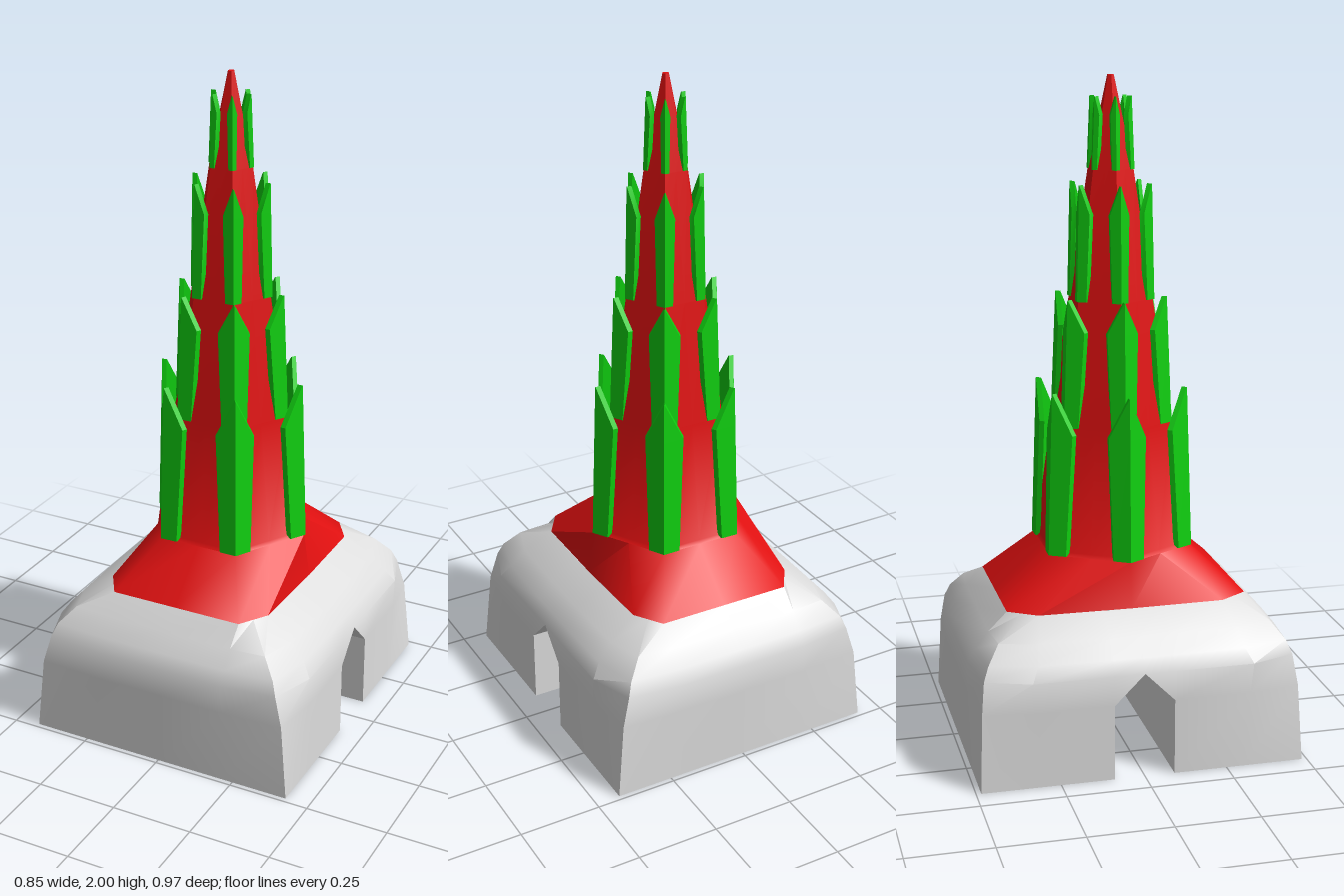
import * as THREE from 'three';
import { toCreasedNormals } from 'three/addons/utils/BufferGeometryUtils.js';

const stone = new THREE.MeshStandardMaterial({ color: 0xdddddd });
stone.name = 'paleStone';
const red = new THREE.MeshStandardMaterial({ color: 0xe01010 });
red.name = 'red';
const green = new THREE.MeshStandardMaterial({ color: 0x10d010 });
green.name = 'green';

const geometryFrom = (tris, crease) => {
  const g = new THREE.BufferGeometry();
  g.setAttribute('position', new THREE.Float32BufferAttribute(tris.flat(), 3));
  return toCreasedNormals(g, crease);
};

// Mirror a quarter outline [x, z] (from the +x axis to the +z axis) into a full ring at height y
function fullRing(y, q) {
  const n = q.length;
  const fwd = q.slice(0, n - 1), back = q.slice(1).reverse();
  const at = (list, sx, sz) => list.map(([x, z]) => [x * sx, y, z * sz]);
  return [...at(fwd, 1, 1), ...at(back, -1, 1), ...at(fwd, -1, -1), ...at(back, 1, -1)];
}

// Skin between rings; mask(band, segment) may drop the lower or upper triangle
function loft(rings, mask = () => [true, true]) {
  const tris = [];
  for (let k = 0; k < rings.length - 1; k++) {
    const lo = rings[k], hi = rings[k + 1], n = lo.length;
    for (let i = 0; i < n; i++) {
      const j = (i + 1) % n;
      const [first, second] = mask(k, i);
      if (first) tris.push(lo[i], hi[i], lo[j]);
      if (second) tris.push(lo[j], hi[i], hi[j]);
    }
  }
  return tris;
}

const quad = (a, b, c, d) => [a, b, c, a, c, d];

function makeBase() {
  const W = 0.425, D = 0.485, T = 0.09;
  // y, side x, shoulder [x, z], corner [x, z], end z
  const rows = [
    [0, W, [W, 0.3], [W, D], D],
    [0.23, W, [W, 0.32], [0.403, 0.475], D],
    [0.32, W, [W, 0.33], [0.378, 0.464], D],
    [0.36, 0.402, [0.397, 0.31], [0.362, 0.448], 0.46],
    [0.41, 0.357, [0.352, 0.3], [0.318, 0.41], 0.42],
    [0.465, 0.27, [0.265, 0.28], [0.2375, 0.3225], 0.365],
  ];
  const rings = rows.map(([y, x, b, c, z]) => fullRing(y, [[x, 0], [x, T], b, c, [0.21, z], [0, z]]));
  // leave the tunnel mouths open, with a pointed top
  const tris = loft(rings, (k, i) => {
    if (k > 1 || ![0, 9, 10, 19].includes(i)) return [true, true];
    if (k === 0) return [false, false];
    // only the triangle beside the point remains
    return [0, 10].includes(i) ? [false, true] : [false, false];
  });
  for (const s of [1, -1]) {
    const a = [s * W, 0.23, -s * T], b = [s * W, 0.32, -s * T], c = [s * W, 0.32, 0];
    tris.push(a, b, c);
  }
  // tunnel walls and roof
  const path = [[0, T], [0.23, T], [0.32, 0], [0.23, -T], [0, -T]];
  for (let i = 0; i < 4; i++) {
    const [y0, z0] = path[i], [y1, z1] = path[i + 1];
    tris.push(...quad([W, y0, z0], [-W, y0, z0], [-W, y1, z1], [W, y1, z1]));
  }
  // undersides
  for (const [z0, z1] of [[T, D], [-D, -T]])
    tris.push(...quad([-W, 0, z0], [W, 0, z0], [W, 0, z1], [-W, 0, z1]));
  return geometryFrom(tris, 0.7);
}

// Hexagon quarter outline, corners on the x axis
const hexRing = (y, r) => {
  const c = Math.cos(Math.PI / 6);
  return fullRing(y, [[r, 0], [r * 0.75, r * c / 2], [r / 2, r * c], [0, r * c]]);
};

// Folded pointed leaf wrapped on a hexagon corner facing +x
function makeLeaf(y0, y1, r0, r1, w) {
  const t = 0.05 * w + 0.013;
  const row = (f, half) => {
    const y = y0 + (y1 - y0) * f, r = r0 + (r1 - r0) * f, b = r - half * 0.6;
    return [[b, y, -half], [r, y, 0], [b, y, half],
      [b - t, y, half], [r - t, y, 0], [b - t, y, -half]];
  };
  const rings = [row(0, w * 0.82), row(0.75, w), row(1, 0.001)];
  const tris = loft(rings), p = rings[0];
  tris.push(...quad(p[0], p[1], p[4], p[5]), ...quad(p[1], p[2], p[3], p[4]));
  return geometryFrom(tris, 0.4);
}

export function createModel() {
  const model = new THREE.Group();
  model.name = 'spireTower';
  const add = (name, geometry, material, parent = model) => {
    const m = new THREE.Mesh(geometry, material);
    m.name = name;
    parent.add(m);
    return m;
  };

  add('archedBase', makeBase(), stone);

  // Sloping roof from the base outline to the hexagon
  const eaves = fullRing(0.465, [[0.27, 0], [0.265, 0.28], [0.21, 0.365], [0, 0.365]]);
  add('roofSkirt', geometryFrom(loft([eaves, hexRing(0.6, 0.25)]), 0.7), red);

  // Tapering hexagonal spire with a small flat tip
  const profile = [[0.6, 0.25], [0.61, 0.24], [0.98, 0.188], [1.35, 0.13], [1.73, 0.07], [2, 0.01]];
  const rings = profile.map(([y, r]) => hexRing(y, r));
  const tris = loft(rings), tip = rings[rings.length - 1];
  tip.forEach((p, i) => tris.push([0, 2, 0], tip[(i + 1) % tip.length], p));
  add('spire', geometryFrom(tris, 0.7), red);

  // Four tiers of six leaves: bottom, top, radius at bottom and top, half width
  const tiers = [
    [0.6, 1.09, 0.255, 0.237, 0.056],
    [0.98, 1.36, 0.19, 0.173, 0.046],
    [1.35, 1.69, 0.135, 0.126, 0.029],
    [1.73, 1.94, 0.073, 0.064, 0.014],
  ];
  tiers.forEach((tier, k) => {
    const group = new THREE.Group();
    group.name = 'leafTier' + (k + 1);
    model.add(group);
    const leaf = makeLeaf(...tier);
    for (let i = 0; i < 6; i++) add('leaf', leaf, green, group).rotation.y = i * Math.PI / 3;
  });
  return model;
}
